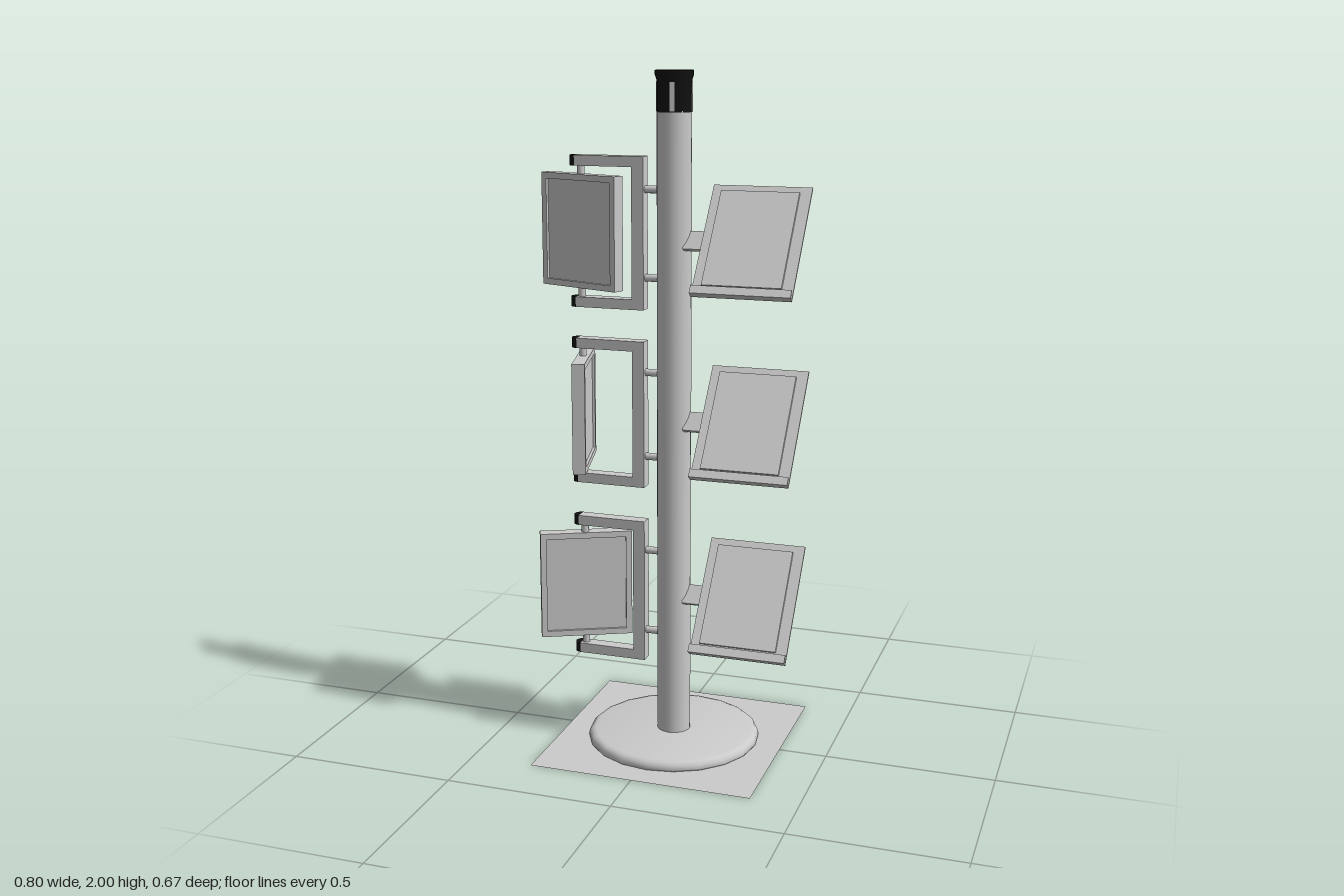
import * as THREE from 'three';
import { toCreasedNormals } from 'three/addons/utils/BufferGeometryUtils.js';

const grey = new THREE.MeshStandardMaterial({ color: 0xcccccc });
const sheet = new THREE.MeshStandardMaterial({ color: 0xcccccc, side: THREE.DoubleSide });
const black = new THREE.MeshStandardMaterial({ color: 0x111111 });
const POLE_X = 0.022;
const PIVOT_X = -0.262;

function add(parent, name, geometry, x, y, z, material = grey) {
  const mesh = new THREE.Mesh(geometry, material);
  mesh.name = name;
  mesh.position.set(x, y, z);
  parent.add(mesh);
  return mesh;
}

const box = (w, h, d) => new THREE.BoxGeometry(w, h, d);
const rod = (r, h, sides = 12) => new THREE.CylinderGeometry(r, r, h, sides);

function lathe(points, sides = 20) {
  const profile = points.map(([r, y]) => new THREE.Vector2(r, y));
  return toCreasedNormals(new THREE.LatheGeometry(profile, sides), 0.7);
}

// Rectangular frame with an open middle, centred on its own origin
function frameGeometry(w, h, border, depth) {
  const shape = new THREE.Shape();
  shape.moveTo(-w / 2, -h / 2).lineTo(w / 2, -h / 2).lineTo(w / 2, h / 2).lineTo(-w / 2, h / 2).closePath();
  const a = w / 2 - border, b = h / 2 - border;
  const hole = new THREE.Path();
  hole.moveTo(-a, -b).lineTo(-a, b).lineTo(a, b).lineTo(a, -b).closePath();
  shape.holes.push(hole);
  return new THREE.ExtrudeGeometry(shape, { depth, bevelEnabled: false }).translate(0, 0, -depth / 2);
}

// Sloping display tray with a raised panel and a turned-up lip
function makeTray(y) {
  const tray = new THREE.Group();
  tray.name = 'displayTray';
  tray.position.set(0.258, y, 0.022);
  tray.rotation.x = THREE.MathUtils.degToRad(-38);
  add(tray, 'trayPlate', box(0.29, 0.365, 0.006), 0, 0, 0);
  add(tray, 'trayPanel', box(0.23, 0.31, 0.01), -0.003, 0.005, 0.006);
  add(tray, 'trayLipBase', box(0.29, 0.005, 0.02), 0, -0.18, 0.01);
  add(tray, 'trayLip', box(0.29, 0.025, 0.004), 0, -0.17, 0.018);
  add(tray, 'trayBracket', box(0.078, 0.06, 0.012), -0.16, 0, -0.009);
  return tray;
}

// C-shaped holder carrying a framed panel that turns on two pins
function makeHolder(y, degrees) {
  const holder = new THREE.Group();
  holder.name = 'panelHolder';
  holder.position.y = y;
  add(holder, 'holderUpright', box(0.036, 0.38, 0.04), -0.083, 0, 0);
  for (const s of [1, -1]) {
    add(holder, 'holderArm', box(0.21, 0.03, 0.04), -0.17, s * 0.205, 0);
    const cap = new THREE.CylinderGeometry(0.02, 0.02, 0.03, 12, 1, false, Math.PI, Math.PI);
    add(holder, 'armEndCap', cap, -0.275, s * 0.205, 0, black);
    add(holder, 'pivotPin', rod(0.011, 0.05), PIVOT_X, s * 0.175, 0);
    add(holder, 'poleConnector', rod(0.011, 0.06), -0.045, s * 0.127, 0).rotation.z = Math.PI / 2;
  }
  const panel = new THREE.Group();
  panel.name = 'turningPanel';
  panel.position.set(PIVOT_X, 0, -0.004);
  panel.rotation.y = THREE.MathUtils.degToRad(degrees);
  add(panel, 'panelFrame', frameGeometry(0.278, 0.33, 0.018, 0.038), 0, 0, 0);
  add(panel, 'panelBoard', box(0.244, 0.296, 0.022), 0, 0, 0);
  holder.add(panel);
  return holder;
}

export function createModel() {
  const model = new THREE.Group();
  model.name = 'displayStand';

  // Floor sheet and round foot
  const floor = add(model, 'floorSheet', new THREE.PlaneGeometry(0.67, 0.668), POLE_X, 0, -0.001, sheet);
  floor.rotation.x = -Math.PI / 2;
  add(model, 'roundFoot', lathe([[0, 0.001], [0.257, 0.001], [0.26, 0.006], [0.258, 0.018],
    [0.25, 0.027], [0.238, 0.03], [0, 0.03]]), POLE_X, 0, 0);

  // Pole and its slotted cap
  add(model, 'pole', rod(0.05, 1.87, 24), POLE_X, 0.955, 0);
  add(model, 'poleCap', lathe([[0, 1.885], [0.0505, 1.885], [0.0505, 1.975], [0.055, 1.988],
    [0.055, 2], [0, 2]]), POLE_X, 0, 0, black);
  for (let i = 0; i < 4; i++) {
    const a = THREE.MathUtils.degToRad(10 + 90 * i);
    const slot = add(model, 'capSlot', box(0.014, 0.08, 0.006),
      POLE_X + Math.sin(a) * 0.048, 1.928, Math.cos(a) * 0.048);
    slot.rotation.y = a;
  }

  // Three trays on one side, three turning panels on the other
  for (const y of [1.532, 1.004, 0.473]) model.add(makeTray(y));
  for (const [y, degrees] of [[1.54, -20], [1.007, -75.5], [0.462, 25.7]]) model.add(makeHolder(y, degrees));
  return model;
}
